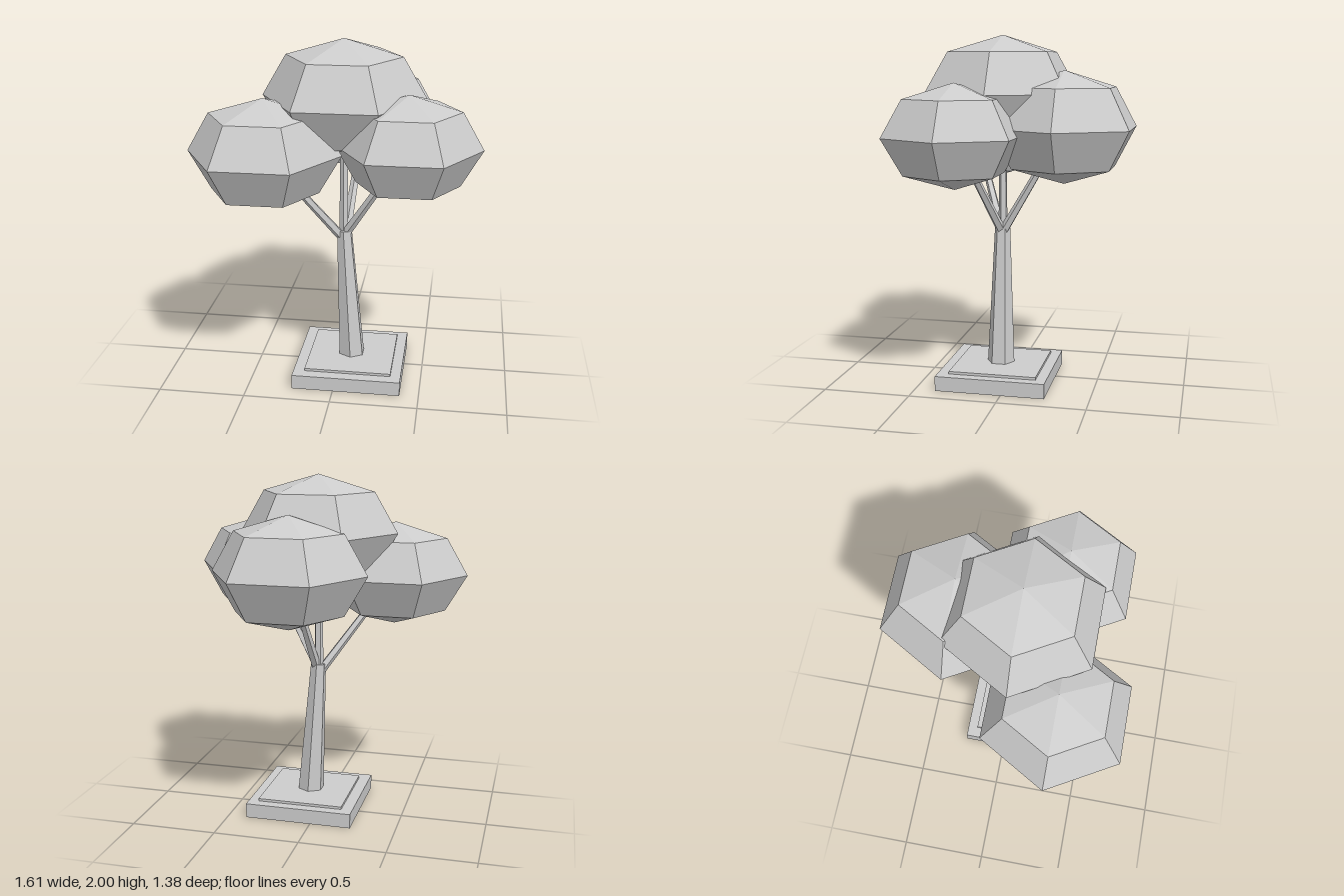
import * as THREE from 'three';

export function createModel() {
  const tree = new THREE.Group();
  tree.name = 'tree';
  const grey = new THREE.MeshStandardMaterial({ color: 0xcccccc, flatShading: true });
  grey.name = 'light grey';

  function add(geometry, name, x = 0, y = 0, z = 0) {
    const mesh = new THREE.Mesh(geometry, grey);
    mesh.name = name;
    mesh.position.set(x, y, z);
    tree.add(mesh);
    return mesh;
  }

  // Tapered limb between two points
  function limb(name, from, to, r0, r1, sides) {
    const a = new THREE.Vector3(...from);
    const b = new THREE.Vector3(...to);
    const dir = b.clone().sub(a);
    const mid = a.clone().add(b).multiplyScalar(0.5);
    const mesh = add(new THREE.CylinderGeometry(r1, r0, dir.length(), sides), name, mid.x, mid.y, mid.z);
    mesh.quaternion.setFromUnitVectors(new THREE.Vector3(0, 1, 0), dir.normalize());
  }

  // Square base with a thin raised slab
  add(new THREE.BoxGeometry(0.63, 0.085, 0.63), 'base', 0.075, 0.0425, 0.066);
  add(new THREE.BoxGeometry(0.505, 0.06, 0.505), 'baseSlab', 0.078, 0.07, 0.063);

  // Leaning six-sided trunk, sheared so both ends stay level
  const trunk = new THREE.CylinderGeometry(0.046, 0.08, 0.8, 6);
  trunk.applyMatrix4(new THREE.Matrix4().makeShear(0, 0, -0.047 / 0.8, 0, 0, 0));
  add(trunk, 'trunk', 0.051, 0.49, 0.066);

  // Leaf clumps, each carried by a branch from the top of the trunk
  const clumps = [
    { name: 'left', at: [0.4, 1.45, 0.25], r: 0.404, h: 0.29, fork: [0.035, 0.87, 0.068] },
    { name: 'right', at: [-0.38, 1.41, 0.32], r: 0.428, h: 0.304, fork: [0.015, 0.845, 0.068] },
    { name: 'back', at: [0.1, 1.487, -0.305], r: 0.442, h: 0.317, fork: [0.04, 0.88, 0.055] },
    { name: 'top', at: [0.025, 1.675, 0.062], r: 0.461, h: 0.325, fork: [0.025, 0.85, 0.064] },
  ];
  for (const { name, at, r, h, fork } of clumps) {
    limb(name + 'Branch', fork, at, 0.028, 0.018, 5);
    const leaves = new THREE.SphereGeometry(1, 6, 4).scale(r, h, r);
    add(leaves, name + 'Leaves', ...at);
  }
  return tree;
}
